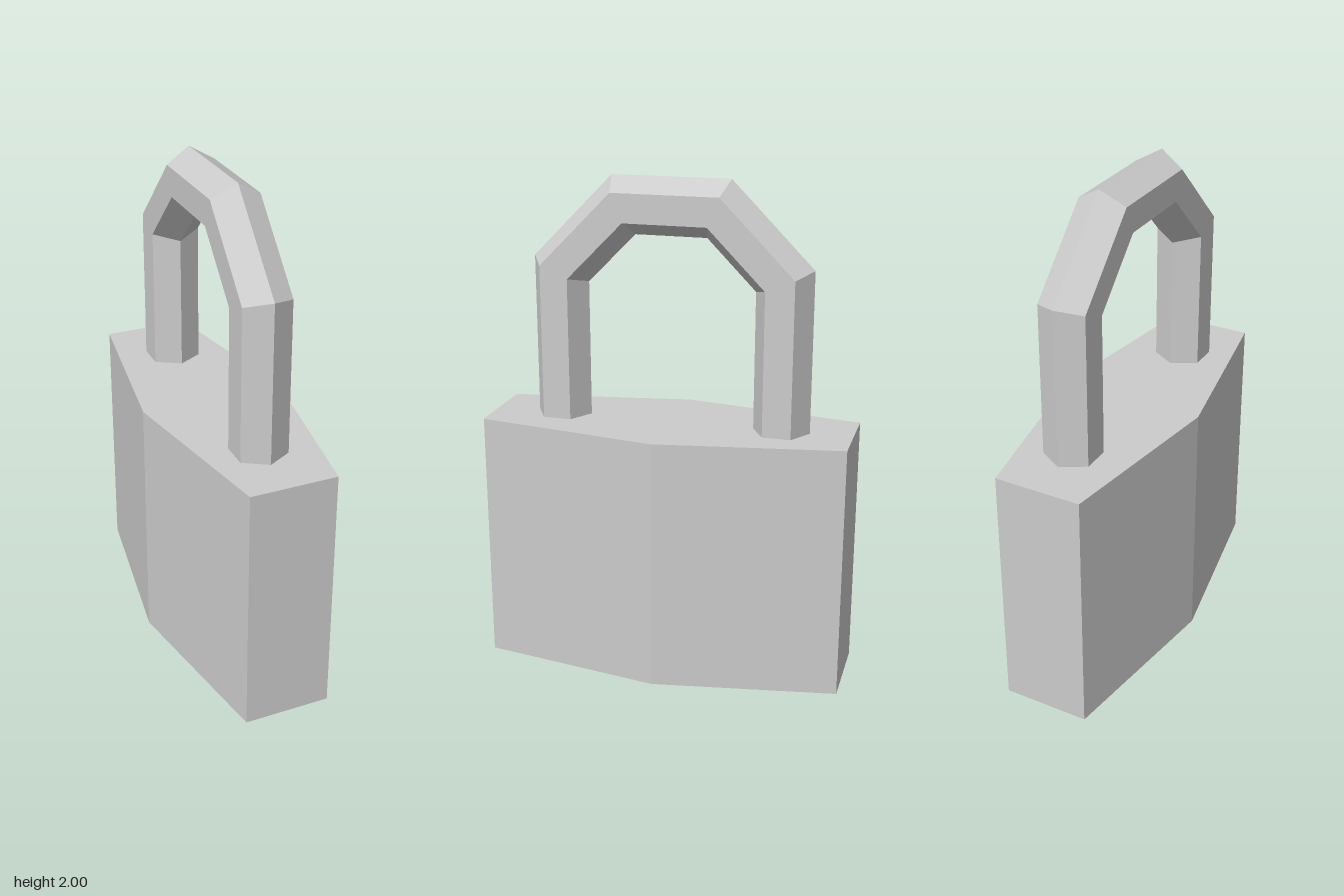
import * as THREE from 'three';

const material = new THREE.MeshStandardMaterial({ color: 0xcccccc, flatShading: true });

// Six-sided block, outline given as [x, z] corners
function makeBody() {
  const half = [[-0.265, 0.13], [0.172, 0.733], [0.486, 0.577]];
  const corners = [...half, ...half.map(([x, z]) => [-x, -z])];
  const shape = new THREE.Shape(corners.map(([x, z]) => new THREE.Vector2(x, -z)));
  const geometry = new THREE.ExtrudeGeometry(shape, { depth: 1.03, bevelEnabled: false });
  geometry.rotateX(-Math.PI / 2);
  const body = new THREE.Mesh(geometry, material);
  body.name = 'lockBody';
  return body;
}

// Hexagonal bar swept along a five-segment arch with mitred corners
function makeShackle() {
  const sides = 6, radius = 0.113, miter = Math.tan(Math.PI / 8);
  // centre x, centre y, outward offset direction x, y
  const right = [
    [0.45, 0.98, 1, 0],
    [0.45, 1.625, 1, miter],
    [0.19, 1.887, miter, 1],
  ];
  const stations = [...right, ...right.map(([x, y, nx, ny]) => [-x, y, -nx, ny]).reverse()];
  const positions = [], indices = [];
  stations.forEach(([x, y, nx, ny]) => {
    for (let j = 0; j < sides; j++) {
      const angle = (j / sides) * Math.PI * 2;
      const d = radius * Math.cos(angle);
      positions.push(x + nx * d, y + ny * d, radius * Math.sin(angle));
    }
  });
  for (let i = 0; i < stations.length - 1; i++) {
    for (let j = 0; j < sides; j++) {
      const a = i * sides + j, b = i * sides + (j + 1) % sides;
      indices.push(a, a + sides, b, b, a + sides, b + sides);
    }
  }
  const geometry = new THREE.BufferGeometry();
  geometry.setAttribute('position', new THREE.Float32BufferAttribute(positions, 3));
  geometry.setIndex(indices);
  const flat = geometry.toNonIndexed();
  flat.computeVertexNormals();
  const shackle = new THREE.Mesh(flat, material);
  shackle.name = 'shackle';
  shackle.rotation.y = -Math.atan2(0.903, 0.43); // along the body's long axis
  return shackle;
}

export function createModel() {
  const padlock = new THREE.Group();
  padlock.name = 'padlock';
  padlock.add(makeBody(), makeShackle());
  return padlock;
}
